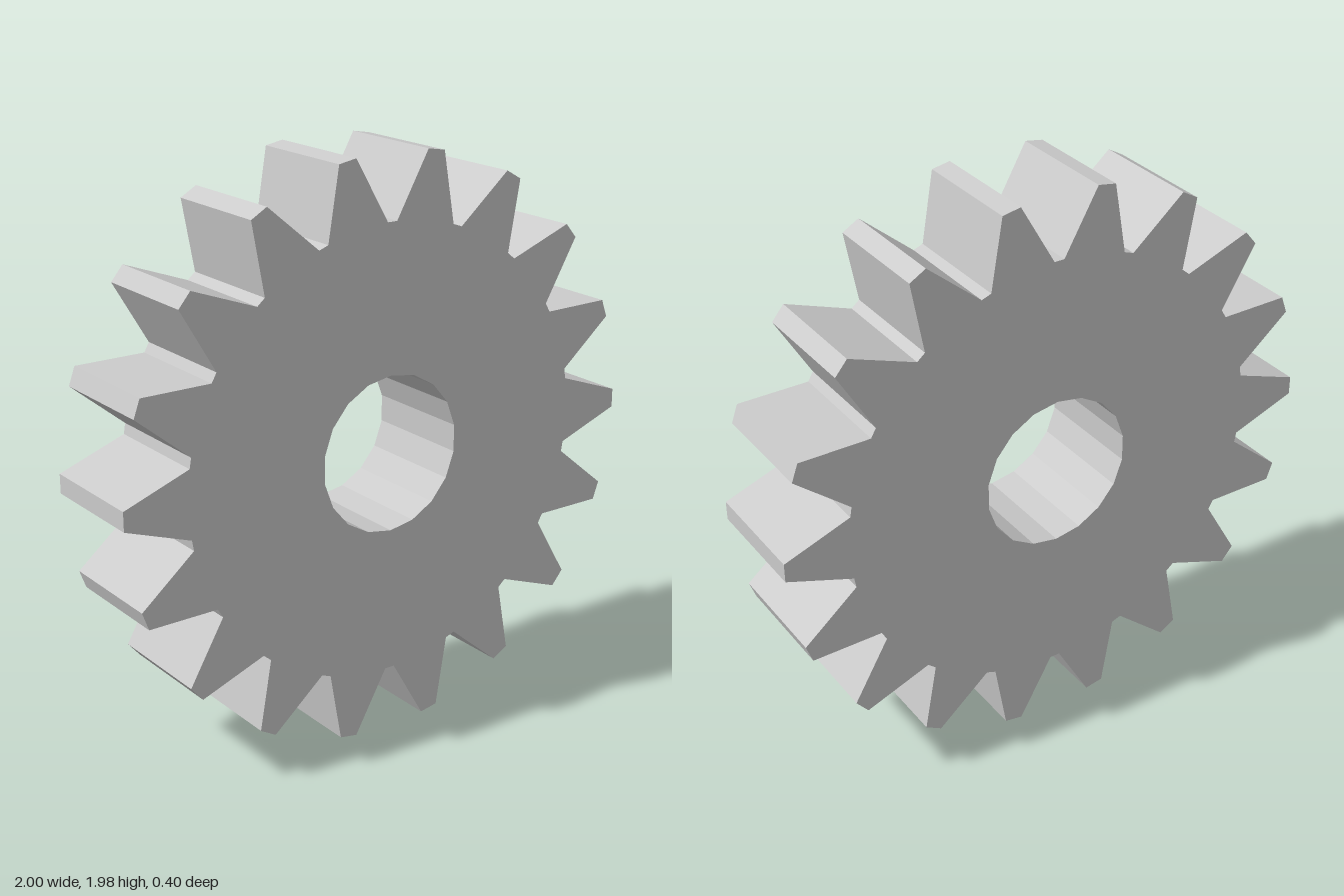
import * as THREE from 'three';

const TEETH = 18;
const STEP = (Math.PI * 2) / TEETH;
const TIP_RADIUS = 1, ROOT_RADIUS = 0.775, BORE_RADIUS = 0.27;
const TIP_HALF_ANGLE = 0.033, BASE_HALF_ANGLE = STEP / 2 - 0.0235;
const THICKNESS = 0.4;

const polar = (radius, angle) =>
  new THREE.Vector2(radius * Math.cos(angle), radius * Math.sin(angle));

export function createModel() {
  const outline = [], bore = [];
  for (let i = 0; i < TEETH; i++) {
    const a = i * STEP;
    // One tapered tooth: base, two tip corners, base
    outline.push(
      polar(ROOT_RADIUS, a - BASE_HALF_ANGLE),
      polar(TIP_RADIUS, a - TIP_HALF_ANGLE),
      polar(TIP_RADIUS, a + TIP_HALF_ANGLE),
      polar(ROOT_RADIUS, a + BASE_HALF_ANGLE)
    );
    // Faceted bore, corners aligned with the valleys
    bore.push(polar(BORE_RADIUS, a + STEP / 2));
  }

  const shape = new THREE.Shape(outline);
  shape.holes.push(new THREE.Path(bore));
  const geometry = new THREE.ExtrudeGeometry(shape, { depth: THICKNESS, bevelEnabled: false });
  geometry.translate(0, TIP_RADIUS * Math.sin(4 * STEP + TIP_HALF_ANGLE), -THICKNESS / 2);

  const gear = new THREE.Mesh(
    geometry,
    new THREE.MeshStandardMaterial({ color: 0xcccccc, flatShading: true })
  );
  gear.name = 'gearWheel';

  const group = new THREE.Group();
  group.name = 'gear';
  group.add(gear);
  return group;
}
